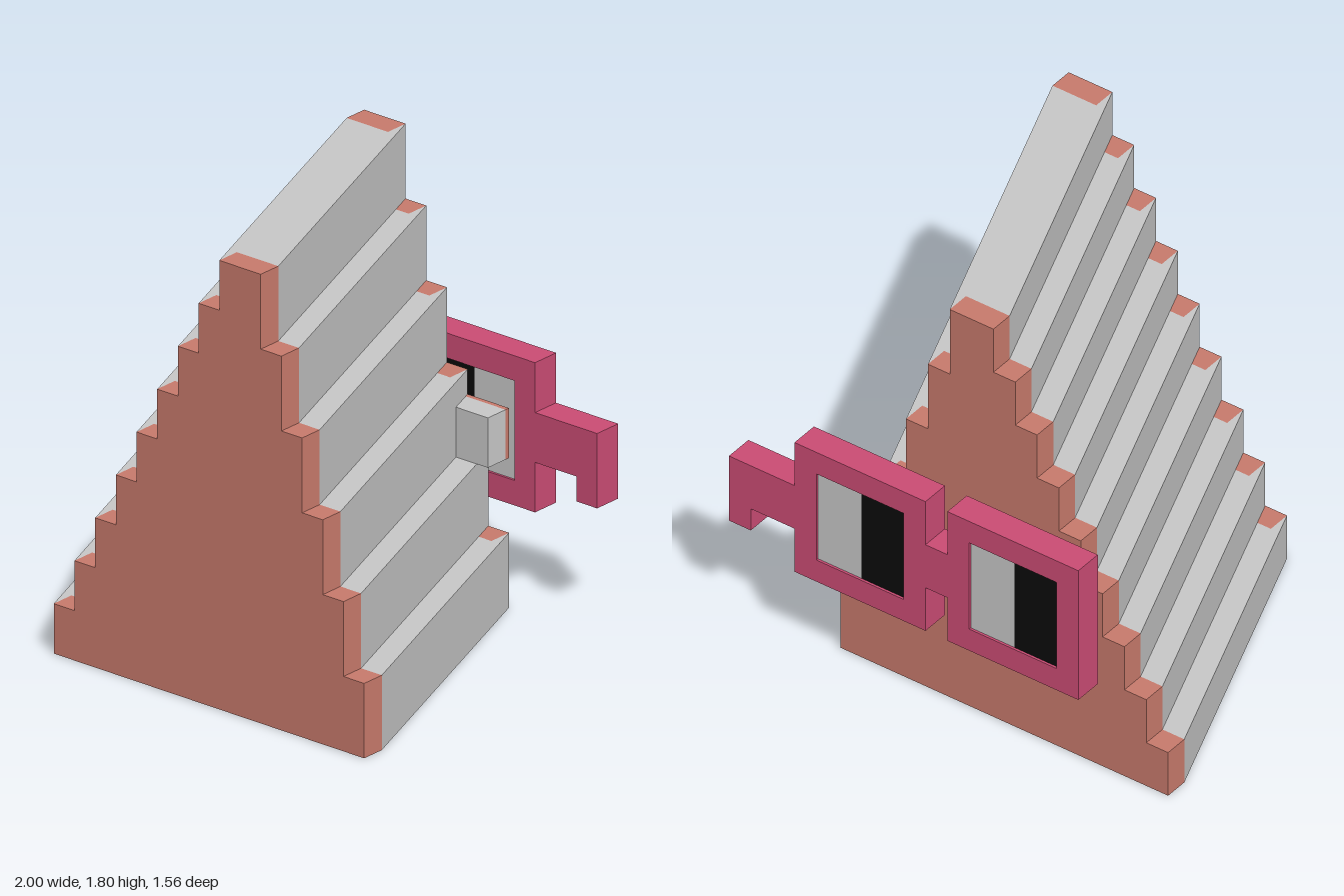
import * as THREE from 'three';

const red = new THREE.MeshStandardMaterial({ color: 0xc87a6c, name: 'terracotta' });
const grey = new THREE.MeshStandardMaterial({ color: 0xc8c8c8, name: 'lightGrey' });
const pink = new THREE.MeshStandardMaterial({ color: 0xcb4c74, name: 'pink' });
const black = new THREE.MeshStandardMaterial({ color: 0x0a0a0a, name: 'black' });

const LEFT_STEPS = 9, LEFT_RISE = 0.2;    // low steps on the -x slope
const RIGHT_STEPS = 6, RIGHT_RISE = 0.3;  // tall steps on the +x slope
const leftX = i => -0.5 + 0.1 * i;
const rightX = i => 1 - 0.1 * i;

const toShape = pts => new THREE.Shape(pts.map(p => new THREE.Vector2(p[0], p[1])));
const extrude = (shape, depth) =>
  new THREE.ExtrudeGeometry(shape, { depth, bevelEnabled: false });

export function createModel() {
  const model = new THREE.Group();
  const add = (parent, name, geometry, material, x = 0, y = 0, z = 0) => {
    const mesh = new THREE.Mesh(geometry, material);
    mesh.name = name;
    mesh.position.set(x, y, z);
    parent.add(mesh);
    return mesh;
  };

  // Stepped end walls, the back one shifted sideways
  const outline = [];
  for (let i = 0; i < RIGHT_STEPS; i++) {
    outline.push([rightX(i), i * RIGHT_RISE], [rightX(i), (i + 1) * RIGHT_RISE]);
  }
  for (let i = LEFT_STEPS - 1; i >= 0; i--) {
    outline.push([leftX(i), (i + 1) * LEFT_RISE], [leftX(i), i * LEFT_RISE]);
  }
  const wall = extrude(toShape(outline), 0.1);
  add(model, 'frontWall', wall, red, 0, 0, 0.68);
  add(model, 'backWall', wall, red, -0.5, 0, -0.63);

  // Slanted beams joining the walls; plan points are [x, z]
  const beams = new THREE.Group();
  beams.name = 'slopeBeams';
  model.add(beams);
  const beam = (name, plan, y, height) => {
    const g = extrude(toShape(plan.map(([x, z]) => [x, -z])), height);
    g.rotateX(-Math.PI / 2);
    add(beams, name, g, grey, 0, y, 0);
  };
  for (let i = 0; i < LEFT_STEPS; i++) {
    const x = leftX(i);
    beam('leftBeam', [[x, 0.78], [x, 0.68], [x + 0.162, 0.68], [x - 0.3, -0.53], [x - 0.5, -0.53]],
      i * LEFT_RISE, LEFT_RISE);
  }
  for (let i = 0; i < RIGHT_STEPS; i++) {
    const x = rightX(i);
    beam('rightBeam', [[x - 0.5, -0.63], [x - 0.5, -0.53], [x - 0.662, -0.53], [x - 0.2, 0.68], [x, 0.68]],
      i * RIGHT_RISE, RIGHT_RISE);
  }

  // Small block on the tall-stepped side, with its backing plate
  add(model, 'sideBlock', new THREE.BoxGeometry(0.2, 0.2, 0.1), grey, 0.4, 0.7, -0.56);
  add(model, 'sideBlockBacking', new THREE.BoxGeometry(0.2, 0.2, 0.02), red, 0.4, 0.7, -0.62);

  // Square glasses behind the back wall
  const glasses = new THREE.Group();
  glasses.name = 'glasses';
  model.add(glasses);
  const frame = toShape([
    [-0.7, 0.4], [-0.1, 0.4], [-0.1, 0.6], [0, 0.6], [0, 0.4], [0.6, 0.4], [0.6, 0.6],
    [0.8, 0.6], [0.8, 0.5], [0.9, 0.5], [0.9, 0.8], [0.6, 0.8], [0.6, 1], [0, 1],
    [0, 0.8], [-0.1, 0.8], [-0.1, 1], [-0.7, 1],
  ]);
  const half = new THREE.BoxGeometry(0.2, 0.4, 0.1);
  for (const cx of [-0.4, 0.3]) {
    frame.holes.push(new THREE.Path([
      [cx - 0.2, 0.5], [cx - 0.2, 0.9], [cx + 0.2, 0.9], [cx + 0.2, 0.5],
    ].map(p => new THREE.Vector2(p[0], p[1]))));
    add(glasses, 'lensLightHalf', half, grey, cx + 0.1, 0.7, -0.72);
    add(glasses, 'lensDarkHalf', half, black, cx - 0.1, 0.7, -0.72);
  }
  add(glasses, 'glassesFrame', extrude(frame, 0.12), pink, 0, 0, -0.78);

  return model;
}
